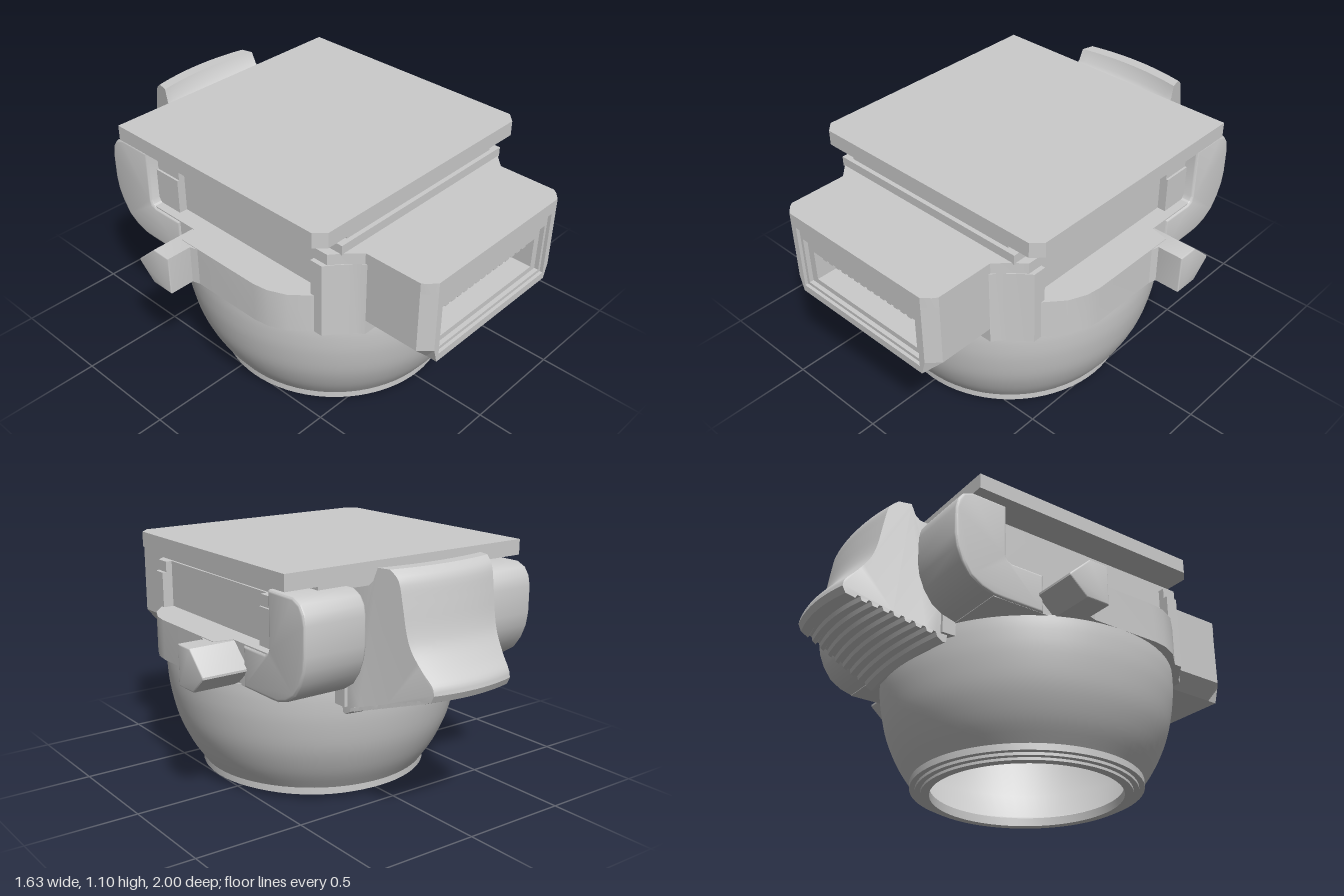
import * as THREE from 'three';
import { toCreasedNormals } from 'three/addons/utils/BufferGeometryUtils.js';

const grey = new THREE.MeshStandardMaterial({ color: 0xcccccc, side: THREE.DoubleSide });

export function createModel() {
  const model = new THREE.Group();

  const add = (name, geo, crease = 0.6) => {
    const mesh = new THREE.Mesh(toCreasedNormals(geo, crease), grey);
    mesh.name = name;
    model.add(mesh);
    return mesh;
  };
  const toShape = (pts, hole) => {
    const shape = new THREE.Shape(pts.map(([a, b]) => new THREE.Vector2(a, b)));
    if (hole) shape.holes.push(new THREE.Path(hole.map(([a, b]) => new THREE.Vector2(a, b))));
    return shape;
  };
  const rect = (x0, x1, y0, y1) => [[x0, y0], [x1, y0], [x1, y1], [x0, y1]];
  // right half outline to a full outline symmetric in x
  const mirror = (pts) => [...pts, ...pts.map(([x, y]) => [-x, y]).reverse()];
  const extrude = (shape, depth, steps = 1) =>
    new THREE.ExtrudeGeometry(shape, { depth, steps, bevelEnabled: false });

  // outline in (x, z), raised from y0 to y1
  const flip = (pts) => pts && pts.map(([x, z]) => [x, -z]);
  const plan = (name, pts, y0, y1, hole) =>
    add(name, extrude(toShape(flip(pts), flip(hole)), y1 - y0).rotateX(-Math.PI / 2).translate(0, y0, 0));
  // outline in (z, y), run from x0 to x1, with optional rounded edges
  const side = (name, pts, x0, x1, r = 0) => {
    const geo = new THREE.ExtrudeGeometry(toShape(pts.map(([z, y]) => [-z, y])), {
      depth: x1 - x0 - 2 * r, bevelEnabled: r > 0, bevelSize: r, bevelOffset: -r, bevelThickness: r, bevelSegments: 3,
    });
    return add(name, geo.rotateY(Math.PI / 2).translate(x0 + r, 0, 0));
  };
  // outline in (x, y), run from z0 to z1
  const front = (name, pts, z0, z1, hole) =>
    add(name, extrude(toShape(pts, hole), z1 - z0).translate(0, 0, z0));
  const box = (name, x0, x1, y0, y1, z0, z1) =>
    add(name, new THREE.BoxGeometry(x1 - x0, y1 - y0, z1 - z0)
      .translate((x0 + x1) / 2, (y0 + y1) / 2, (z0 + z1) / 2));

  // hollow bowl with a stepped foot and open bottom
  const curve = new THREE.SplineCurve([
    [0.53, 0.055], [0.592, 0.15], [0.645, 0.27], [0.675, 0.4], [0.685, 0.5], [0.685, 0.565],
  ].map((p) => new THREE.Vector2(...p))).getPoints(20);
  const inner = [[0.645, 0.565], [0.635, 0.4], [0.57, 0.2], [0.49, 0.06], [0.44, 0.04], [0.44, 0]];
  const foot = [[0.44, 0], [0.48, 0], [0.48, 0.012], [0.505, 0.012], [0.505, 0.025], [0.53, 0.025]];
  const bowl = [...foot.map((p) => new THREE.Vector2(...p)), ...curve, ...inner.map((p) => new THREE.Vector2(...p))];
  add('bowl', new THREE.LatheGeometry(bowl, 72).translate(0, 0, 0.11));

  // collar above the bowl
  const well = rect(-0.47, 0.47, -0.4, 0.48);
  plan('collar', mirror([
    [0.6, -0.5], [0.6, -0.16], [0.685, -0.14], [0.685, 0.3], [0.675, 0.37], [0.64, 0.45], [0.57, 0.53],
  ]), 0.56, 0.745, well);
  plan('upperWall', rect(-0.52, 0.52, -0.44, 0.52), 0.74, 0.96, well);
  box('backWall', -0.32, 0.32, 0.5, 0.96, -0.56, -0.42);

  // front shoulder and connector nose
  const shoulder = [[0.57, 0.51], [0.57, 0.57], [0.53, 0.6], [0.49, 0.635], [0.46, 0.66], [0.44, 0.69]];
  plan('frontShoulder', mirror(shoulder), 0.56, 0.91);
  plan('frontTopPlate', mirror([
    [0.55, 0.51], [0.55, 0.58], [0.5, 0.62], [0.44, 0.68], [0.44, 0.95], [0.425, 0.97], [0.39, 1],
  ]), 0.91, 0.96);
  const nose = mirror([[0.37, 0.56], [0.44, 0.63], [0.44, 0.91]]);
  const mouth = rect(-0.36, 0.36, 0.595, 0.9);
  front('connectorNose', nose, 0.68, 0.95, mouth);
  const tip = front('connectorNoseTip', nose, 0.95, 1, mouth).geometry;
  const tp = tip.attributes.position;
  for (let i = 0; i < tp.count; i++) {
    if (tp.getZ(i) > 0.99 && Math.abs(tp.getX(i)) > 0.43) tp.setX(i, Math.sign(tp.getX(i)) * 0.39);
  }
  tip.computeVertexNormals();

  // connector socket
  front('socketFrame', mouth, 0.95, 0.985, rect(-0.345, 0.345, 0.61, 0.84));
  front('socketLiner', mouth, 0.8, 0.965, rect(-0.31, 0.31, 0.635, 0.78));
  box('socketBack', -0.35, 0.35, 0.6, 0.85, 0.78, 0.81);
  for (let i = 0; i < 14; i++) {
    const x = -0.26 + i * 0.04;
    box('contactPin', x - 0.012, x + 0.012, 0.752, 0.78, 0.8, 0.95);
  }

  // lid and the plate beneath it
  plan('lidSpacer', mirror([[0.51, -0.57], [0.51, 0.62]]), 0.955, 1.0);
  plan('lidSpacerTop', mirror([[0.46, -0.57], [0.46, 0.6]]), 1.0, 1.035);
  plan('lid', mirror([[0.63, -0.59], [0.63, 0.575], [0.585, 0.62]]), 1.03, 1.1);

  // paired side tabs, rear posts and hinge knuckles
  const tab = [[-0.075, 0.56], [-0.19, 0.56], [-0.275, 0.635], [-0.275, 0.645], [-0.17, 0.742], [-0.075, 0.742]];
  const knuckle = [
    [-0.44, 1.01], [-0.61, 1.01], [-0.655, 0.99], [-0.68, 0.955], [-0.69, 0.91], [-0.69, 0.79], [-0.68, 0.73],
    [-0.655, 0.67], [-0.615, 0.615], [-0.56, 0.58], [-0.5, 0.563], [-0.45, 0.56], [-0.25, 0.56], [-0.25, 0.74],
    [-0.41, 0.74], [-0.43, 0.75], [-0.44, 0.77],
  ];
  const pair = (x0, x1, make) => { make(x0, x1); make(-x1, -x0); };
  pair(0.55, 0.815, (a, b) => side('sideTab', tab, a, b, 0.006));
  pair(0.31, 0.608, (a, b) => side('hingeKnuckle', knuckle, a, b, 0.012));
  pair(0.48, 0.56, (a, b) => box('rearPost', a, b, 0.74, 0.91, -0.45, -0.3));
  pair(0.48, 0.55, (a, b) => box('rearPostCap', a, b, 0.91, 0.96, -0.45, -0.3));
  // small gusset where each tab meets the collar
  pair(0, 1, (a) => {
    const s = a === 0 ? 1 : -1;
    plan('tabGusset', [[s * 0.66, -0.09], [s * 0.72, -0.09], [s * 0.695, -0.075], [s * 0.685, -0.04]], 0.56, 0.742);
  });
  add('hingePin', new THREE.CylinderGeometry(0.06, 0.06, 0.7, 24).rotateZ(Math.PI / 2).translate(0, 0.85, -0.57));

  // rear latch lever: ribbed underside, narrowing and bowed toward the back
  const back = new THREE.SplineCurve([
    [-0.79, 1.1], [-0.83, 1.06], [-0.85, 0.97], [-0.87, 0.86], [-0.895, 0.79], [-0.945, 0.72], [-0.99, 0.67], [-1, 0.635],
  ].map((p) => new THREE.Vector2(...p))).getPoints(28).map((p) => [p.x, p.y]);
  const ribs = [[-0.985, 0.605]];
  for (let i = 0; i < 8; i++) {
    const z = -0.945 + i * 0.045, y = 0.59 - i * 0.0145;
    ribs.push([z, y], [z + 0.008, y + 0.014], [z + 0.02, y + 0.011], [z + 0.026, y - 0.008]);
  }
  const lever = [
    [-0.6, 1.0], [-0.65, 1.012], [-0.695, 1.025], [-0.715, 1.045], [-0.735, 1.1], ...back, ...ribs,
    [-0.575, 0.463], [-0.56, 0.468], [-0.555, 0.5], [-0.57, 0.56], [-0.6, 0.62],
  ];
  const leverGeo = extrude(toShape(lever.map(([z, y]) => [-z, y])), 2, 14)
    .rotateY(Math.PI / 2).translate(-1, 0, 0);
  const p = leverGeo.attributes.position;
  for (let i = 0; i < p.count; i++) {
    const u = p.getX(i), z = p.getZ(i);
    const t = THREE.MathUtils.clamp((-z - 0.62) / 0.37, 0, 1);
    p.setX(i, u * (0.305 - 0.1 * t));
    p.setZ(i, z + 0.028 * u * u);
  }
  leverGeo.computeVertexNormals();
  add('latchLever', leverGeo);

  return model;
}
